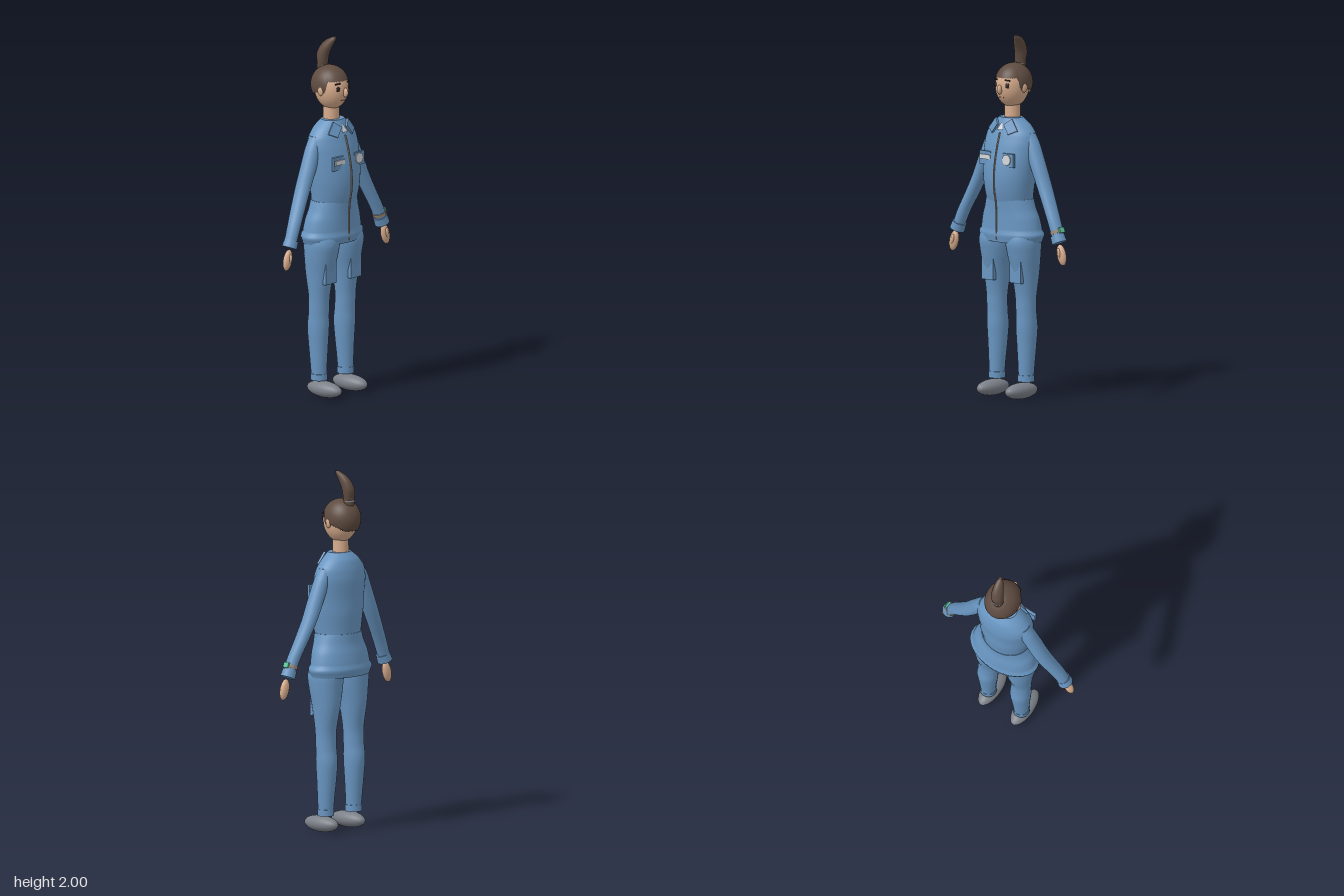
import * as THREE from 'three';

const mat = (name, color, side = THREE.FrontSide) => {
  const m = new THREE.MeshStandardMaterial({ color, side });
  m.name = name;
  return m;
};

// Smooth closed body through elliptical sections [cx, y, cz, rx, rz], bottom to top
function loft(sections, steps = 28, sides = 32) {
  const centre = new THREE.CatmullRomCurve3(sections.map(s => new THREE.Vector3(s[0], s[1], s[2])));
  const radius = new THREE.CatmullRomCurve3(sections.map(s => new THREE.Vector3(s[3], 0, s[4])));
  const pos = [], idx = [];
  const ring = t => {
    const c = centre.getPoint(t), r = radius.getPoint(t), start = pos.length / 3;
    for (let i = 0; i < sides; i++) {
      const a = i / sides * Math.PI * 2;
      pos.push(c.x + r.x * Math.sin(a), c.y, c.z + r.z * Math.cos(a));
    }
    return start;
  };
  for (let j = 0; j <= steps; j++) ring(j / steps);
  for (let j = 0; j < steps; j++) for (let i = 0; i < sides; i++) {
    const a = j * sides + i, b = j * sides + (i + 1) % sides;
    idx.push(a, b, b + sides, a, b + sides, a + sides);
  }
  for (const t of [0, 1]) {
    const start = ring(t), c = centre.getPoint(t), mid = pos.length / 3;
    pos.push(c.x, c.y, c.z);
    for (let i = 0; i < sides; i++) {
      const a = start + i, b = start + (i + 1) % sides;
      if (t) idx.push(mid, a, b); else idx.push(mid, b, a);
    }
  }
  const g = new THREE.BufferGeometry();
  g.setAttribute('position', new THREE.Float32BufferAttribute(pos, 3));
  g.setIndex(idx);
  g.computeVertexNormals();
  return g;
}

const ball = (rx, ry, rz, n = 28) => new THREE.SphereGeometry(1, n, n * 0.7 | 0).scale(rx, ry, rz);

export function createModel() {
  const model = new THREE.Group();
  const cloth = mat('blue cloth', 0x6996c2);
  const skin = mat('skin', 0xd6ab8c);
  const hairMat = mat('brown hair', 0x5e4b40, THREE.DoubleSide);
  const shoeMat = mat('grey shoe', 0x7b8088);
  const pale = mat('pale grey', 0xd6d9dd, THREE.DoubleSide);
  const zipMat = mat('zip metal', 0x9a8a7a);
  const dark = mat('dark brown', 0x2e2420);
  const lipMat = mat('lip', 0xb98a74);
  const green = mat('green', 0x5cc79c);

  const add = (name, geo, material, p = [0, 0, 0], r = [0, 0, 0], parent = model) => {
    const m = new THREE.Mesh(geo, material);
    m.name = name;
    m.position.set(...p);
    m.rotation.set(...r);
    parent.add(m);
    return m;
  };

  // Overalls: upper body and hips
  add('torso', loft([
    [0, 1.08, 0, 0.136, 0.11], [0, 1.15, 0.005, 0.146, 0.12], [0, 1.22, 0.005, 0.156, 0.125],
    [0, 1.3, 0.002, 0.163, 0.121], [0, 1.4, -0.01, 0.168, 0.112], [0, 1.46, -0.015, 0.158, 0.099],
    [0, 1.51, -0.016, 0.118, 0.082], [0, 1.55, -0.01, 0.07, 0.058]], 36, 48), cloth);
  add('hips', loft([
    [0, 0.87, -0.015, 0.195, 0.125], [0, 0.93, -0.015, 0.195, 0.125], [0, 1.0, -0.01, 0.181, 0.119],
    [0, 1.05, -0.004, 0.16, 0.114], [0, 1.105, 0, 0.142, 0.114]], 20, 48), cloth);

  // Zip follows the front of the body
  const zipPath = [[1.47, 0.083], [1.4, 0.104], [1.3, 0.125], [1.22, 0.132], [1.15, 0.127], [1.1, 0.117],
    [1.05, 0.112], [1.0, 0.111], [0.93, 0.112], [0.885, 0.112]].map(p => new THREE.Vector3(0, p[0], p[1]));
  add('zip', new THREE.TubeGeometry(new THREE.CatmullRomCurve3(zipPath), 40, 0.005, 6), zipMat);

  // Shirt showing at the throat
  const vee = new THREE.Shape([[-0.022, -0.025], [0.022, -0.025], [0, 0.025]].map(p => new THREE.Vector2(...p)));
  add('shirt', new THREE.ShapeGeometry(vee), pale, [0, 1.508, 0.073], [-0.4, 0, 0]);

  for (const s of [1, -1]) {
    const side = s > 0 ? 'left' : 'right';
    const mirror = list => list.map(([x, ...rest]) => [x * s, ...rest]);

    // Leg, turn-up and shoe
    add(side + 'Leg', loft(mirror([
      [0.108, 0.1, -0.012, 0.04, 0.042], [0.108, 0.2, -0.015, 0.046, 0.048], [0.107, 0.3, -0.018, 0.053, 0.055],
      [0.107, 0.4, -0.019, 0.058, 0.062], [0.107, 0.47, -0.015, 0.057, 0.057], [0.107, 0.55, -0.012, 0.058, 0.057],
      [0.104, 0.7, -0.012, 0.073, 0.081], [0.1, 0.8, -0.005, 0.089, 0.096], [0.098, 0.87, -0.002, 0.095, 0.104],
      [0.095, 0.95, -0.01, 0.08, 0.09]]), 40), cloth);
    add(side + 'TrouserCuff', new THREE.CylinderGeometry(0.046, 0.046, 0.036, 32), cloth, [0.108 * s, 0.117, -0.012]);
    add(side + 'Shoe', ball(0.052, 0.045, 0.12), shoeMat, [0.105 * s, 0.05, 0.024]);
    add(side + 'ThighPocket', new THREE.BoxGeometry(0.085, 0.125, 0.022), cloth, [0.102 * s, 0.71, 0.06]);

    // Arm, sleeve cuff and hand
    add(side + 'Arm', loft(mirror([
      [0.371, 0.915, 0.012, 0.035, 0.035], [0.335, 1.0, 0.006, 0.037, 0.038], [0.285, 1.1, -0.006, 0.039, 0.042],
      [0.236, 1.2, -0.015, 0.042, 0.045], [0.192, 1.3, -0.017, 0.045, 0.046], [0.15, 1.4, -0.02, 0.045, 0.045],
      [0.122, 1.47, -0.02, 0.034, 0.038]])), cloth);
    add(side + 'SleeveCuff', new THREE.CylinderGeometry(0.039, 0.042, 0.044, 32), cloth,
      [0.37 * s, 0.913, 0.013], [0, 0, 0.4 * s]);
    add(side + 'Hand', ball(0.029, 0.059, 0.021), skin, [0.398 * s, 0.828, 0.018], [0, 0, 0.25 * s]);
    add(side + 'Thumb', ball(0.012, 0.028, 0.012, 16), skin, [0.394 * s, 0.838, 0.033], [0, 0, 0.15 * s]);

    // Collar flap and chest pocket
    const flap = new THREE.Shape([[-0.042, 0.005], [-0.003, -0.045], [0.047, -0.015], [-0.003, 0.045]]
      .map(p => new THREE.Vector2(p[0] * s, p[1])));
    add(side + 'Collar', new THREE.ExtrudeGeometry(flap, { depth: 0.012, bevelEnabled: false }), cloth,
      [0.058 * s, 1.502, 0.056], [-0.38, 0.35 * s, 0]);
    add(side + 'ChestPocket', new THREE.BoxGeometry(0.08, 0.075, 0.016), cloth, [0.084 * s, 1.327, 0.103]);

    // Face, one side
    add(side + 'Ear', ball(0.011, 0.026, 0.018, 16), skin, [0.091 * s, 1.715, -0.016]);
    add(side + 'Eye', ball(0.011, 0.015, 0.006, 16), dark, [0.043 * s, 1.73, 0.069], [0, 0.35 * s, 0]);
    add(side + 'Eyebrow', new THREE.BoxGeometry(0.03, 0.007, 0.009), dark,
      [0.042 * s, 1.759, 0.067], [0, 0.4 * s, -0.12 * s]);
  }

  // Name plate and round badge on the chest
  add('namePlate', new THREE.BoxGeometry(0.075, 0.026, 0.006), pale, [-0.079, 1.333, 0.115]);
  add('badge', new THREE.CylinderGeometry(0.029, 0.029, 0.006, 24), pale, [0.079, 1.33, 0.115], [Math.PI / 2, 0, 0]);

  // Wristwatch on the left sleeve
  const watch = new THREE.Group();
  watch.name = 'watch';
  watch.position.set(0.357, 0.95, 0.01);
  watch.rotation.z = 0.4;
  model.add(watch);
  add('watchStrap', new THREE.CylinderGeometry(0.038, 0.038, 0.018, 28), zipMat, [0, 0, 0], [0, 0, 0], watch);
  add('watchFace', new THREE.BoxGeometry(0.01, 0.03, 0.036), green, [0.038, 0, 0], [0, 0, 0], watch);

  // Head, neck, nose and mouth
  add('neck', new THREE.CylinderGeometry(0.043, 0.045, 0.13, 32), skin, [0, 1.595, -0.02]);
  add('head', ball(0.088, 0.12, 0.1, 40), skin, [0, 1.722, -0.018]);
  add('nose', ball(0.013, 0.026, 0.018, 16), skin, [0, 1.707, 0.084]);
  add('mouth', new THREE.BoxGeometry(0.032, 0.005, 0.006), lipMat, [0, 1.663, 0.069]);

  // Hair cap: a dome whose lower edge drops from the forehead to the sides and nape
  const cap = new THREE.SphereGeometry(1, 64, 24);
  const p = cap.attributes.position, uv = cap.attributes.uv;
  for (let i = 0; i < p.count; i++) {
    const a = (uv.getX(i) - 0.5) * Math.PI * 2, f = Math.abs(a);
    const low = 1.768 - 0.065 * THREE.MathUtils.smoothstep(f, 1.0, 1.2) - 0.033 * THREE.MathUtils.smoothstep(f, 1.6, 2.6);
    const th = (1 - uv.getY(i)) * Math.acos((low - 1.735) / 0.11);
    p.setXYZ(i, 0.098 * Math.sin(th) * Math.sin(a), 0.11 * Math.cos(th), 0.112 * Math.sin(th) * Math.cos(a));
  }
  cap.computeVertexNormals();
  add('hairCap', cap, hairMat, [0, 1.735, -0.03]);

  // Ponytail standing up and curling forward
  add('ponytail', loft([
    [0, 1.8, -0.085, 0.03, 0.026], [0, 1.85, -0.083, 0.033, 0.029], [0.004, 1.9, -0.083, 0.034, 0.037],
    [0.012, 1.945, -0.065, 0.029, 0.038], [0.021, 1.98, -0.04, 0.02, 0.03], [0.027, 2.0, -0.018, 0.01, 0.01]],
    20, 24), hairMat);
  add('hairTie', new THREE.TorusGeometry(0.027, 0.005, 8, 24), pale, [0, 1.836, -0.084], [Math.PI / 2, 0, 0]);

  return model;
}
